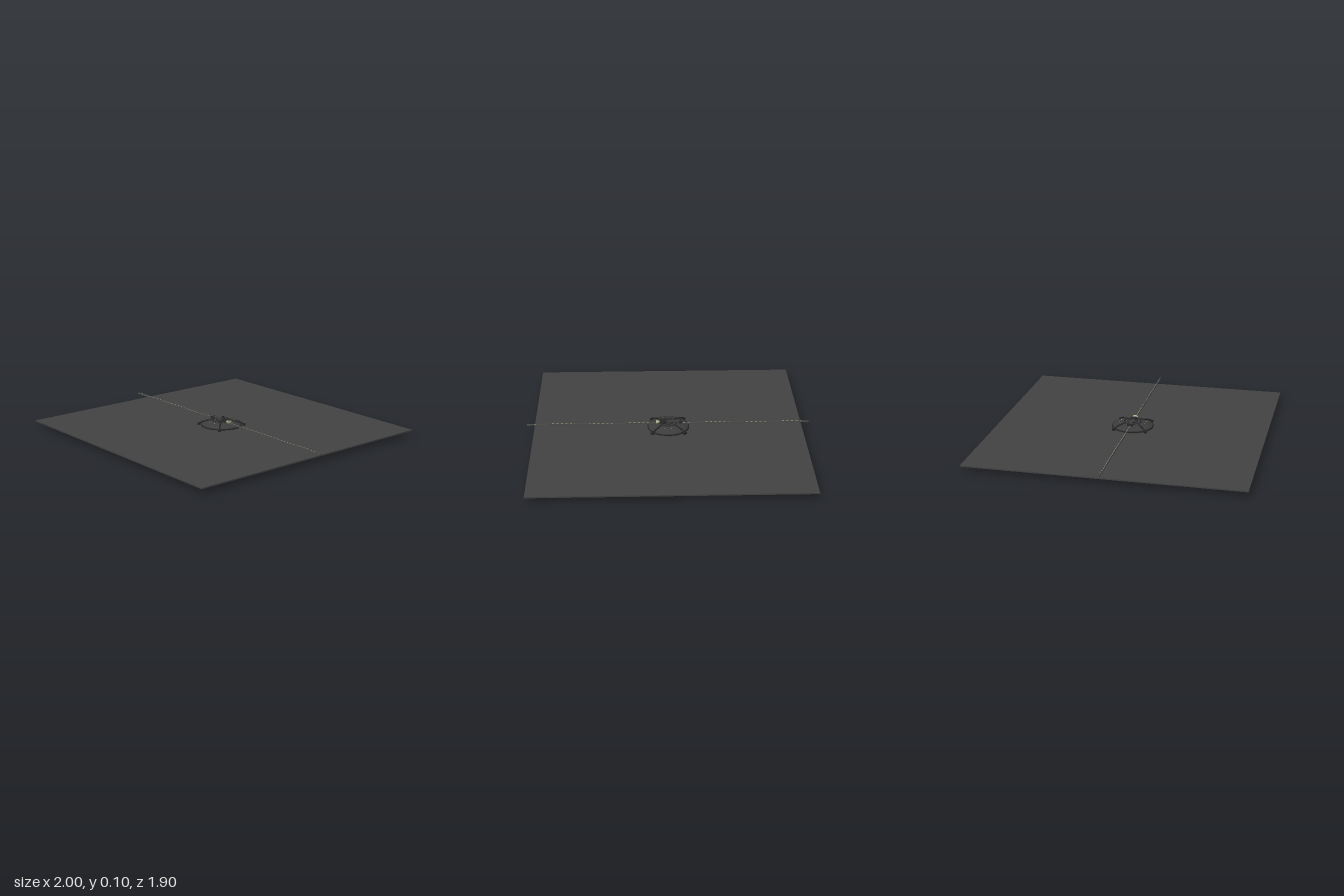
import * as THREE from 'three';

const mat = (name, color) => Object.assign(new THREE.MeshStandardMaterial({ color }), { name });

export function createModel() {
  const group = new THREE.Group();
  const floorGrey = mat('floorGrey', 0x424242);
  const hullGrey = mat('hullGrey', 0x3c3c3c);
  const darkTrim = mat('darkTrim', 0x262626);
  const barGrey = mat('barGrey', 0x4c4c4a);
  const paleYellow = mat('paleYellow', 0xb4b48c);

  const add = (name, geometry, material, x = 0, y = 0, z = 0, parent = group) => {
    const mesh = new THREE.Mesh(geometry, material);
    mesh.name = name;
    mesh.position.set(x, y, z);
    parent.add(mesh);
    return mesh;
  };
  const box = (w, h, d) => new THREE.BoxGeometry(w, h, d);
  const flatRing = (name, r, tube, y) => {
    add(name, new THREE.TorusGeometry(r, tube, 8, 48), darkTrim, 0, y, 0).rotation.x = Math.PI / 2;
  };

  // Square floor slab
  add('floorSlab', box(1.9, 0.009, 1.9), floorGrey, 0, 0.0415, 0);

  // Long thin bar with a dashed pale strip on top
  add('longBar', box(2, 0.01, 0.008), barGrey, 0, 0.076, 0);
  for (let i = 0; i < 60; i++) {
    add('barDash', box(0.014, 0.001, 0.003), paleYellow, -0.944 + i * 0.032, 0.0814, 0);
  }

  // Shallow dome
  const profile = [[0.148, 0.044], [0.147, 0.054], [0.138, 0.062], [0.115, 0.071],
    [0.085, 0.079], [0.06, 0.083], [0, 0.085]].map(([r, y]) => new THREE.Vector2(r, y));
  add('dome', new THREE.LatheGeometry(profile, 48), hullGrey);
  flatRing('rimRing', 0.144, 0.005, 0.054);
  flatRing('hubRing', 0.06, 0.004, 0.083);
  flatRing('innerRing', 0.036, 0.003, 0.086);

  // Four diagonal ribs ending in small feet
  for (let i = 0; i < 4; i++) {
    const arm = new THREE.Group();
    arm.name = 'rib';
    arm.rotation.y = Math.PI / 4 + i * Math.PI / 2;
    const path = new THREE.CatmullRomCurve3([[0.06, 0.084], [0.1, 0.078], [0.14, 0.067], [0.165, 0.05]]
      .map(([r, y]) => new THREE.Vector3(r, y, 0)));
    add('ribTube', new THREE.TubeGeometry(path, 16, 0.0055, 8), darkTrim, 0, 0, 0, arm);
    add('ribFoot', box(0.014, 0.014, 0.022), darkTrim, 0.162, 0.053, 0, arm);
    group.add(arm);
  }

  // Lever across the hub with a pale tip
  add('leverArm', box(0.12, 0.01, 0.024), hullGrey, -0.02, 0.089, 0);
  add('leverEnd', box(0.02, 0.012, 0.042), darkTrim, -0.086, 0.087, 0);
  add('leverHead', new THREE.CylinderGeometry(0.024, 0.028, 0.014, 24), darkTrim, 0.038, 0.09, 0);
  add('leverTip', new THREE.CylinderGeometry(0.01, 0.021, 0.024, 16), paleYellow, 0.074, 0.088, 0)
    .rotation.set(0, 0, Math.PI / 2);
  group.getObjectByName('leverTip').scale.x = 0.5;

  // Small pale studs on the dome
  for (const x of [-0.02, 0.03]) for (const z of [-0.09, 0.09]) {
    add('stud', box(0.005, 0.004, 0.004), paleYellow, x, 0.077, z);
  }

  // Upright wheel and small block under the floor
  add('lowerWheel', new THREE.CylinderGeometry(0.031, 0.031, 0.016, 32), darkTrim, 0, 0.031, 0)
    .rotation.x = Math.PI / 2;
  add('lowerBlock', box(0.03, 0.012, 0.04), hullGrey, 0, 0.034, 0.075);

  return group;
}
